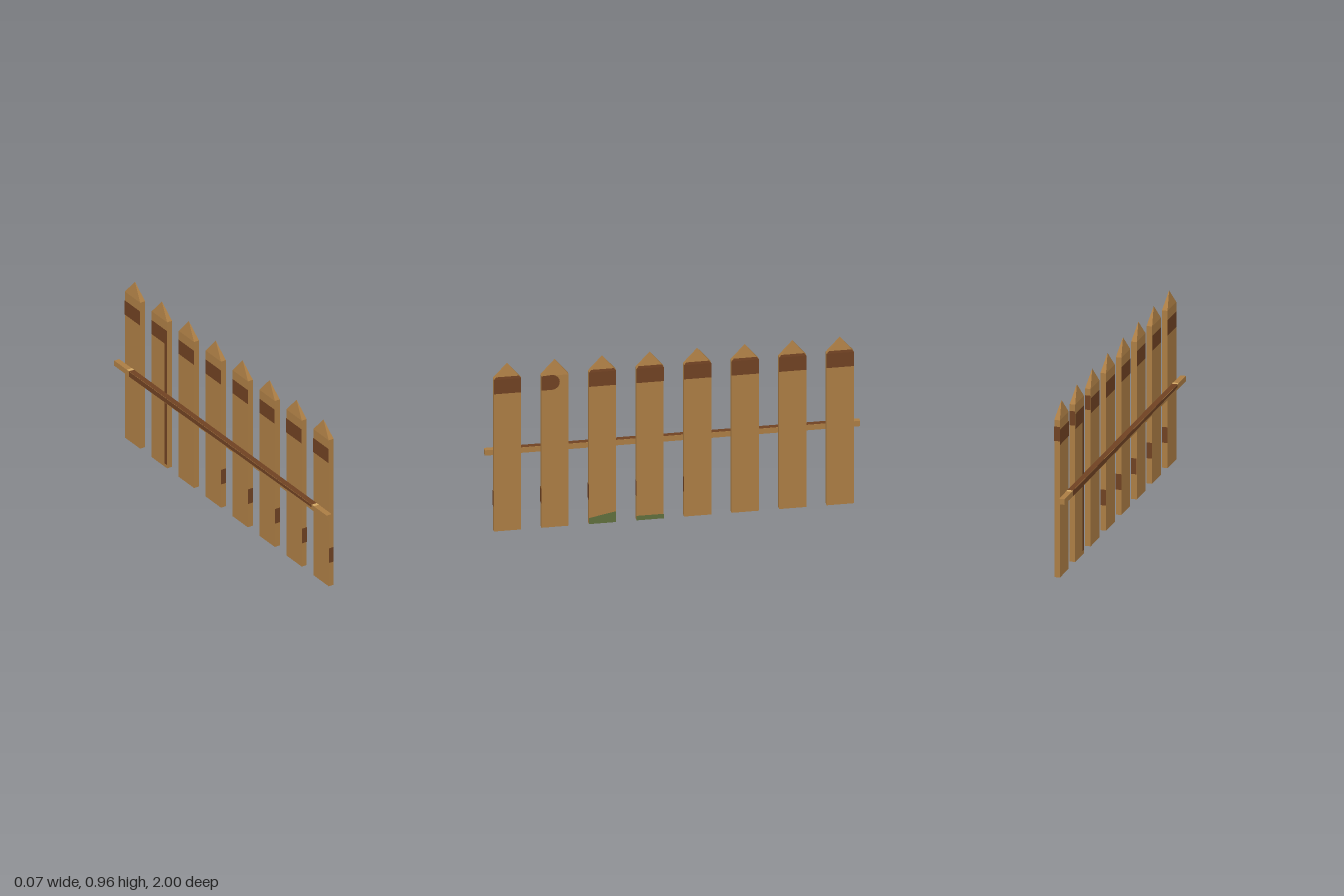
import * as THREE from 'three';

const wood = new THREE.MeshStandardMaterial({ color: 0xab7d44 });
wood.name = 'wood';
const stain = new THREE.MeshStandardMaterial({ color: 0x6f4122 });
stain.name = 'dark stain';
const moss = new THREE.MeshStandardMaterial({ color: 0x5f6e3c });
moss.name = 'moss';
const pale = new THREE.MeshStandardMaterial({ color: 0xd2a763 });
pale.name = 'pale wood';

const WIDTH = 0.145, DEPTH = 0.031, SHOULDER = 0.877, TIP = 0.088, PICKET_X = 0.0185;
const COUNT = 8, SPACING = 0.2534;
const RAIL = { x: -0.021, y: 0.44, size: 0.031 };
const LIFT = 0.001;

function box(name, w, h, d, x, y, z) {
  const mesh = new THREE.Mesh(new THREE.BoxGeometry(w, h, d), wood);
  mesh.name = name;
  mesh.position.set(x, y, z);
  return mesh;
}

// Flat painted patch; points are [across, up], seen from outside
function patch(name, points, material, x, y, z, turn, tilt = 0) {
  const shape = points instanceof THREE.Shape
    ? points : new THREE.Shape(points.map(([u, v]) => new THREE.Vector2(u, v)));
  const mesh = new THREE.Mesh(new THREE.ShapeGeometry(shape, 10), material);
  mesh.name = name;
  mesh.position.set(x, y, z);
  mesh.rotation.set(tilt, turn, 0, 'YXZ');
  return mesh;
}

const rect = (u0, v0, u1, v1) => [[u0, v0], [u1, v0], [u1, v1], [u0, v1]];

// Four-sided pointed cap with flat faces
function tipGeometry() {
  const g = new THREE.ConeGeometry(Math.SQRT1_2, 1, 4, 1, true).rotateY(Math.PI / 4)
    .scale(DEPTH, TIP, WIDTH).toNonIndexed();
  g.computeVertexNormals();
  return g;
}

function createPicket(i, tipGeo) {
  const g = new THREE.Group();
  g.name = `picket${i + 1}`;
  g.add(box('board', DEPTH, SHOULDER, WIDTH, 0, SHOULDER / 2, 0));
  const tip = new THREE.Mesh(tipGeo, wood);
  tip.name = 'pointedTip';
  tip.position.y = SHOULDER + TIP / 2;
  g.add(tip);

  const hw = WIDTH / 2, hd = DEPTH / 2, side = Math.PI / 2;
  const outer = hd + LIFT;

  // Stain near the top of the outer face
  if (i === 1) {
    const blob = new THREE.Shape();
    blob.moveTo(-hw, 0.797);
    blob.lineTo(-0.018, 0.793);
    blob.absarc(-0.018, 0.838, 0.043, -Math.PI / 2, Math.PI / 2, false);
    blob.lineTo(-hw, SHOULDER);
    g.add(patch('roundStain', blob, stain, outer, 0, 0, side));
  } else {
    g.add(patch('topStain', rect(-hw, 0.795, hw, SHOULDER), stain, outer, 0, 0, side));
    // The stain runs a little way up the sloping tip
    g.add(patch('tipStain', [[-hw, 0], [hw, 0], [hw * 0.84, 0.0145], [-hw * 0.84, 0.0145]],
      stain, outer, SHOULDER, 0, side, -Math.atan(hd / TIP)));
  }

  // Stain on the inner face
  g.add(patch('innerStain', rect(-hw, 0.74, hw, 0.825), stain, -outer, 0, 0, -side));
  if (i === 6) {
    g.add(patch('edgeStreak', rect(hw - 0.025, 0.02, hw, 0.74), stain, -outer, 0, 0, -side));
  }

  // Bands on the narrow edges
  if (i < 5) {
    g.add(patch('frontEdgeBand', rect(-hd, 0.14, hd, 0.228), stain, 0, 0, hw + LIFT, 0));
    g.add(patch('backEdgeBand', rect(-hd, 0.14, hd, 0.228), stain, 0, 0, -hw - LIFT, Math.PI));
  } else {
    g.add(patch('backEdgeBand', rect(-hd, 0.76, hd, 0.84), stain, 0, 0, -hw - LIFT, Math.PI));
  }

  // Moss at the foot of two pickets
  if (i === 2) {
    g.add(patch('moss', [[-hw, 0], [hw, 0], [hw, 0.063], [-hw, 0.035]], moss, outer, 0, 0, side));
  }
  if (i === 3) {
    g.add(patch('moss', rect(-hw, 0, hw, 0.026), moss, outer, 0, 0, side));
  }

  g.position.set(PICKET_X, 0, (3.5 - i) * SPACING);
  return g;
}

function createRail() {
  const g = new THREE.Group();
  g.name = 'rail';
  const h = RAIL.size / 2, end = 0.86, out = h + LIFT;
  g.add(box('railBar', RAIL.size, RAIL.size, 2, 0, 0, 0));

  // Stained top, with a pale strip at each end of it
  const flat = -Math.PI / 2;
  g.add(patch('railTopStain', rect(-h, -end, h, end), stain, 0, out, 0, 0, flat));
  for (const s of [-1, 1]) {
    g.add(patch('railPaleStrip', rect(-h, -0.01, h, 0.01), pale, 0, out, s * (end + 0.01), 0, flat));
  }

  // Inner face: stain tapering along the rail
  g.add(patch('railInnerStain', [[-end, -h], [end, 0], [end, h], [-end, h]],
    stain, -out, 0, 0, -Math.PI / 2));

  g.position.set(RAIL.x, RAIL.y, 0);
  return g;
}

export function createModel() {
  const fence = new THREE.Group();
  fence.name = 'picketFence';
  const tipGeo = tipGeometry();
  for (let i = 0; i < COUNT; i++) fence.add(createPicket(i, tipGeo));
  fence.add(createRail());
  return fence;
}
